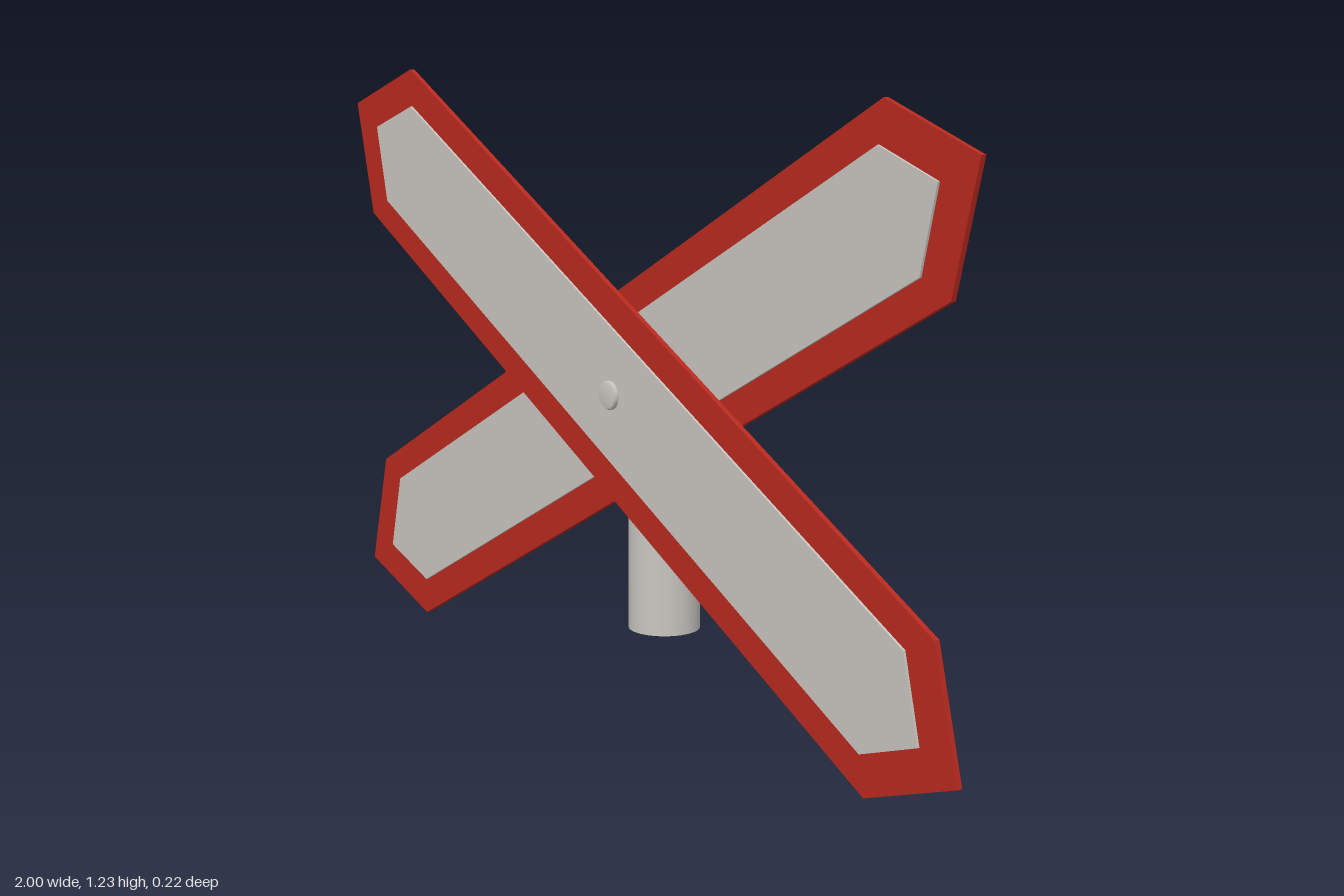
import * as THREE from 'three';
import { RoundedBoxGeometry } from 'three/addons/geometries/RoundedBoxGeometry.js';

export function createModel() {
  const group = new THREE.Group();
  const red = new THREE.MeshStandardMaterial({ name: 'signal red', color: 0xb8291f });
  const grey = new THREE.MeshStandardMaterial({ name: 'pale grey', color: 0xc9c6c0 });

  const add = (name, geometry, material, x, y, z) => {
    const mesh = new THREE.Mesh(geometry, material);
    mesh.name = name;
    mesh.position.set(x, y, z);
    group.add(mesh);
    return mesh;
  };

  // Half outline of a pointed board; the other half is its point reflection
  const boardHalf = [[-1, 0.532], [-0.937, 0.287], [0.763, -0.615]];
  const panelHalf = [[-0.905, 0.483], [-0.865, 0.32], [0.755, -0.535]];
  const plate = (half, side, depth) => {
    const pts = [...half, ...half.map(([x, y]) => [-x, -y])];
    const shape = new THREE.Shape(pts.map(([x, y]) => new THREE.Vector2(x * side, y)));
    return new THREE.ExtrudeGeometry(shape, { depth, bevelEnabled: false });
  };

  // Crossed boards, each with a pale panel on its front
  const centreY = 0.62;
  for (const [label, side, z] of [['front', 1, 0.081], ['rear', -1, 0.061]]) {
    add(label + 'Board', plate(boardHalf, side, 0.011), red, 0, centreY, z);
    add(label + 'Panel', plate(panelHalf, side, 0.005), grey, 0, centreY, z + 0.011);
  }

  // Low bolt head at the crossing
  const boltProfile = [[0, -0.02], [0.029, -0.02], [0.029, 0.005], [0.025, 0.01], [0, 0.01]]
    .map(([r, y]) => new THREE.Vector2(r, y));
  const bolt = add('bolt', new THREE.LatheGeometry(boltProfile, 24), grey, 0, centreY, 0.097);
  bolt.rotation.x = Math.PI / 2;

  // Mounting block behind the boards and the round post
  add('mountingBlock', new RoundedBoxGeometry(0.146, 0.36, 0.088, 2, 0.003), grey, 0, 0.62, 0.008);
  add('post', new THREE.CylinderGeometry(0.073, 0.073, 0.54, 40), grey, 0, 0.395, -0.037);

  return group;
}
